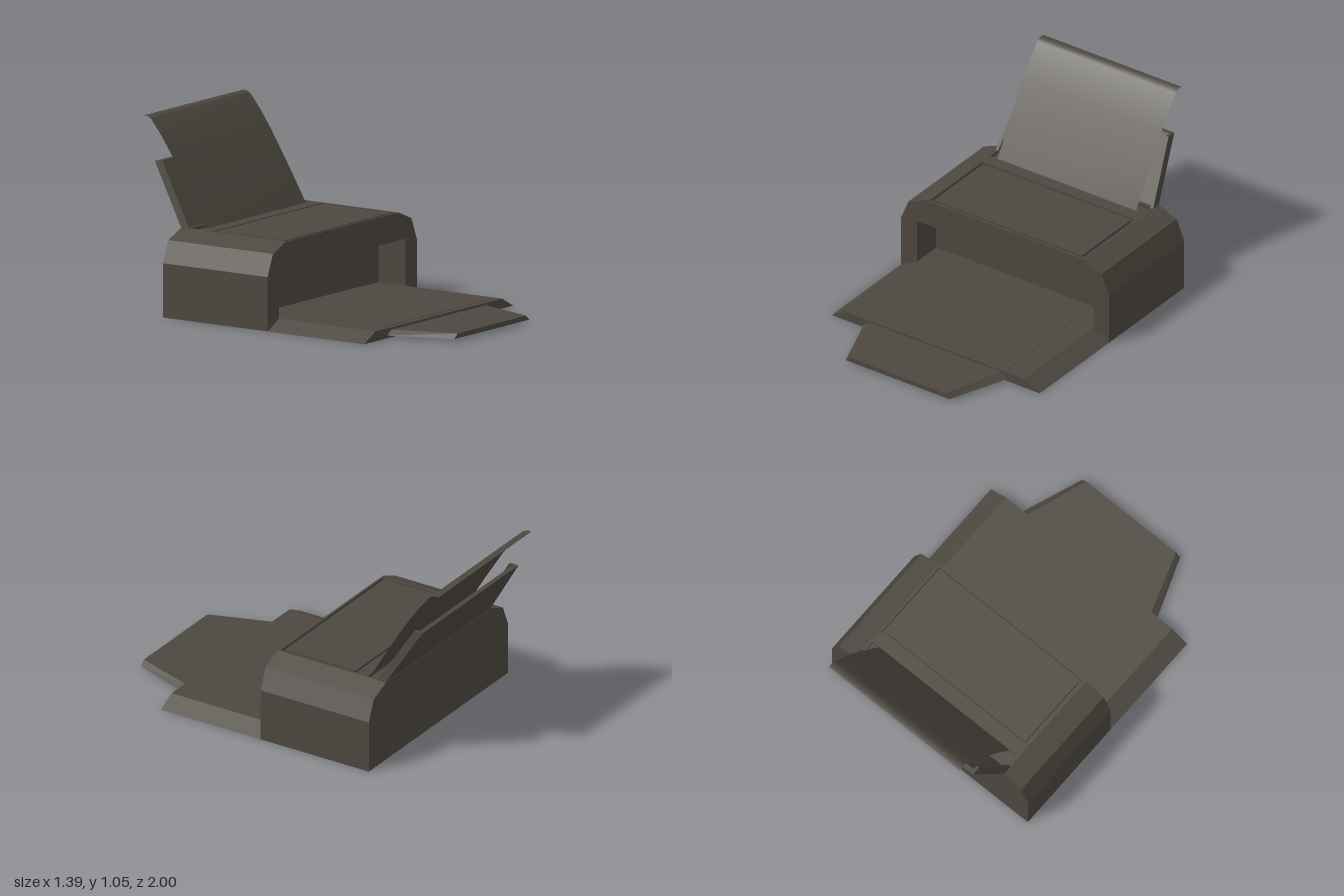
import * as THREE from 'three';

export function createModel() {
  const model = new THREE.Group();
  const material = new THREE.MeshStandardMaterial({ color: 0x4c473f, flatShading: true });
  const sheetMaterial = new THREE.MeshStandardMaterial({ color: 0x4c473f, side: THREE.DoubleSide });

  const add = (name, geometry, mat = material) => {
    const mesh = new THREE.Mesh(geometry, mat);
    mesh.name = name;
    model.add(mesh);
    return mesh;
  };
  const shapeOf = pts => new THREE.Shape(pts.map(p => new THREE.Vector2(...p)));
  const rect = (x0, y0, x1, y1) => [[x0, y0], [x1, y0], [x1, y1], [x0, y1]];
  const extrude = (shape, depth) => new THREE.ExtrudeGeometry(shape, { depth, bevelEnabled: false });

  // Box whose corners are placed by a rule; the arguments are -1 or 1 per axis
  const bentBox = rule => {
    const g = new THREE.BoxGeometry(2, 2, 2);
    const p = g.attributes.position;
    for (let i = 0; i < p.count; i++) p.setXYZ(i, ...rule(p.getX(i), p.getY(i), p.getZ(i)));
    g.computeVertexNormals();
    return g;
  };

  const back = -0.7, front = 0, wall = -0.18, top = 0.47, deck = 0.452;

  // Housing: chamfered profile with a shallow notch for the top plate
  const half = [[0.695, 0], [0.695, 0.3], [0.645, 0.42], [0.525, top], [0.525, deck]];
  const profile = [...half, ...half.map(([x, y]) => [-x, y]).reverse()];
  add('rearHousing', extrude(shapeOf(profile), wall - back)).position.z = back;
  const frontShape = shapeOf(profile);
  frontShape.holes.push(shapeOf(rect(-0.59, 0.055, 0.59, 0.315)));
  add('frontHousing', extrude(frontShape, front - wall)).position.z = wall;

  // Top plate with the lid opening and the paper slot (shape y is -z)
  const plate = shapeOf(rect(-0.525, -front, 0.525, -back));
  plate.holes.push(shapeOf(rect(-0.51, 0.012, 0.51, 0.5)));
  plate.holes.push(shapeOf(rect(-0.51, 0.575, 0.51, 0.65)));
  const flat = (name, shape) => {
    const m = add(name, extrude(shape, top - deck));
    m.rotation.x = -Math.PI / 2;
    m.position.y = deck;
  };
  flat('topPlate', plate);
  flat('lid', shapeOf(rect(-0.495, 0.028, 0.495, 0.485)));

  // Output tray with sloping sides, and its narrower extension
  add('outputTray', bentBox((x, y, z) => [
    x * (y > 0 ? 0.59 : 0.695), y > 0 ? 0.055 : 0, z > 0 ? 0.645 : front]));
  add('trayExtension', bentBox((x, y, z) => [
    x * (z > 0 ? (y > 0 ? 0.318 : 0.348) : (y > 0 ? 0.44 : 0.48)),
    y > 0 ? 0.042 : 0.015, z > 0 ? 1 : 0.645]));
  const printed = add('outputSheet', new THREE.BoxGeometry(0.92, 0.002, 0.79));
  printed.position.set(0, 0.056, 0.215);

  // Leaning rear support: a back panel with a rim down each side
  const lean = (y, z) => [y > 0 ? 0.81 : top, z - (y > 0 ? 0.21 : 0)];
  add('supportPanel', bentBox((x, y, z) => [
    x * (y > 0 ? 0.48 : 0.527), ...lean(y, z > 0 ? -0.67 : -0.698)]));
  for (const side of [-1, 1]) {
    add(side > 0 ? 'leftSupportRim' : 'rightSupportRim', bentBox((x, y, z) => [
      side * ((y > 0 ? 0.48 : 0.527) - (x * side > 0 ? 0 : 0.018)),
      ...lean(y, z > 0 ? -0.645 : -0.67)]));
  }

  // Input sheet: leans back and curls over at its top edge
  const curve = [[-0.57, deck], [-0.575, top], [-0.7, 0.68], [-0.81, 0.856],
    [-0.88, 0.955], [-0.945, 1.035], [-0.965, 1.046], [-0.982, 1.05], [-1, 1.048]];
  const sheet = new THREE.PlaneGeometry(0.927, 1, 1, curve.length - 1);
  const p = sheet.attributes.position;
  for (let i = 0; i < p.count; i++) {
    const [z, y] = curve[curve.length - 1 - Math.floor(i / 2)];
    p.setY(i, y);
    p.setZ(i, z);
  }
  sheet.computeVertexNormals();
  add('inputSheet', sheet, sheetMaterial);

  return model;
}
